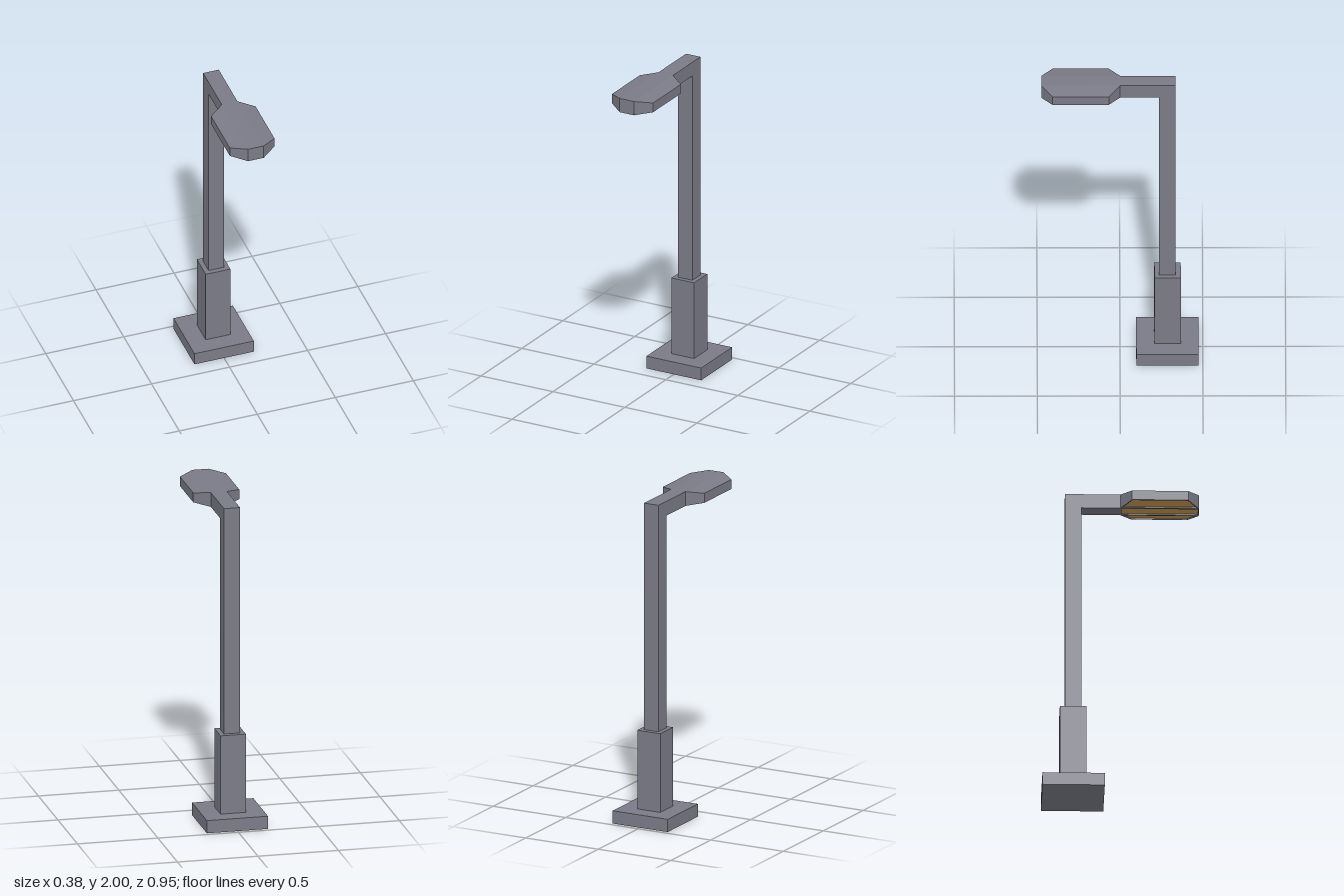
import * as THREE from 'three';

const metal = new THREE.MeshStandardMaterial({ color: 0x7b7b88, flatShading: true });
const amber = new THREE.MeshStandardMaterial({ color: 0xc89b50, flatShading: true });

// Box given by its lower and upper corners
function box(name, [x0, y0, z0], [x1, y1, z1]) {
  const mesh = new THREE.Mesh(new THREE.BoxGeometry(x1 - x0, y1 - y0, z1 - z0), metal);
  mesh.position.set((x0 + x1) / 2, (y0 + y1) / 2, (z0 + z1) / 2);
  mesh.name = name;
  return mesh;
}

function quadMesh(name, quads, material) {
  const points = quads.flatMap(([a, b, c, d]) => [a, b, c, a, c, d]);
  const geometry = new THREE.BufferGeometry().setFromPoints(points);
  geometry.computeVertexNormals();
  const mesh = new THREE.Mesh(geometry, material);
  mesh.name = name;
  return mesh;
}

// Cross-section of the lamp head at x: bottom back, bottom front, top front, top back
function section(x) {
  const t = Math.max(0, (Math.abs(x) - 0.05) / 0.093);
  const z0 = 0.068 * t, z1 = 0.475 - 0.068 * t;
  const y0 = 1.91 + 0.015 * t, y1 = 2 - 0.015 * t;
  return [[y0, z0], [y0, z1], [y1, z1], [y1, z0]].map(([y, z]) => new THREE.Vector3(x, y, z));
}

function lampHead() {
  const head = new THREE.Group();
  head.name = 'lampHead';
  const shell = [], panels = [];
  const xs = [-0.143, -0.05, 0.05, 0.143];
  const margin = 0.007, depth = 0.008;
  const lift = p => p.clone().setY(p.y + depth);

  for (let k = 0; k < 3; k++) {
    const a = section(xs[k]), b = section(xs[k + 1]);
    // front, top and back faces
    for (let i = 1; i < 4; i++) {
      const j = (i + 1) % 4;
      shell.push([a[i], b[i], b[j], a[j]]);
    }
    // underside: rim, recess walls and light panel
    const c = section(xs[k] + margin), d = section(xs[k + 1] - margin);
    for (const s of [c, d]) {
      s[0].z += margin;
      s[1].z -= margin;
    }
    const outer = [a[0], b[0], b[1], a[1]];
    const inner = [c[0], d[0], d[1], c[1]];
    const deep = inner.map(lift);
    for (let i = 0; i < 4; i++) {
      const j = (i + 1) % 4;
      shell.push([outer[i], outer[j], inner[j], inner[i]]);
      shell.push([inner[i], inner[j], deep[j], deep[i]]);
    }
    panels.push(deep);
  }
  // side faces
  shell.push(section(xs[0]), section(xs[3]).reverse());

  head.add(quadMesh('headShell', shell, metal));
  panels.forEach((p, i) => head.add(quadMesh('lightPanel' + (i + 1), [p], amber)));
  return head;
}

export function createModel() {
  const model = new THREE.Group();
  model.name = 'streetLamp';
  model.add(
    box('basePlate', [-0.19, 0, -0.475], [0.19, 0.08, -0.098]),
    box('lowerSleeve', [-0.079, 0.08, -0.367], [0.079, 0.575, -0.207]),
    box('pole', [-0.05, 0.575, -0.335], [0.05, 1.91, -0.237]),
    box('arm', [-0.05, 1.91, -0.335], [0.05, 2, 0]),
    lampHead()
  );
  return model;
}
